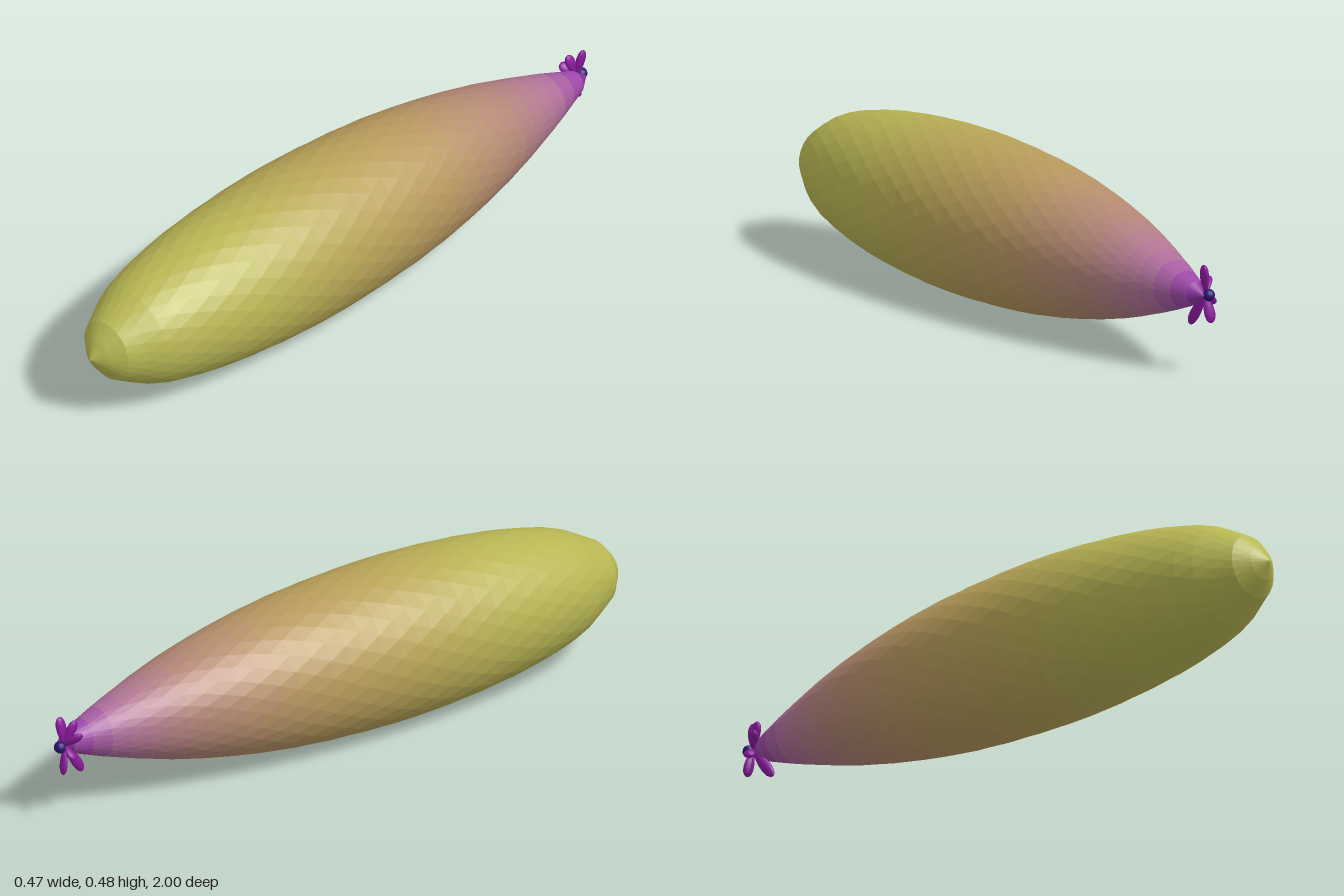
import * as THREE from 'three';

const CENTRE_Y = 0.243;

// Body outline from front tip to back tip: [z, radius]
const OUTLINE = [
  [1, 0], [0.975, 0.04], [0.945, 0.085], [0.87, 0.13], [0.785, 0.17], [0.6, 0.21],
  [0.4, 0.232], [0.2, 0.241], [0, 0.236], [-0.2, 0.221], [-0.4, 0.191],
  [-0.6, 0.147], [-0.8, 0.086], [-0.9, 0.05], [-0.97, 0.022], [-0.985, 0],
];

// Skin colour along the body: [z, colour]
const SKIN = [
  [1, 0xb9b954], [0.5, 0xb7b353], [0.1, 0xb7a256], [-0.25, 0xb7965f],
  [-0.6, 0xb28378], [-0.8, 0xb0709a], [-0.92, 0x9c46a8], [-1, 0x7a1496],
];

function skinColor(z) {
  const i = Math.max(1, SKIN.findIndex(([stop]) => stop <= z));
  const [z0, c0] = SKIN[i - 1];
  const [z1, c1] = SKIN[i];
  return new THREE.Color(c0).lerp(new THREE.Color(c1), (z0 - z) / (z0 - z1));
}

// Faceted spindle with staggered rings, one colour per band
function makeBody() {
  const sides = 26;
  const bands = 36;
  const curve = new THREE.SplineCurve(OUTLINE.map(([z, r]) => new THREE.Vector2(z, r)));
  const rings = curve.getSpacedPoints(bands);
  const positions = [];
  const indices = [];
  const materials = [];
  const geometry = new THREE.BufferGeometry();

  rings.forEach(({ x: z, y }, i) => {
    const r = i === 0 || i === bands ? 0 : Math.max(y, 0);
    for (let j = 0; j < sides; j++) {
      const a = ((j + (i % 2) / 2) / sides) * Math.PI * 2 + Math.PI / 2;
      positions.push(Math.cos(a) * r * 0.97 - 0.002, Math.sin(a) * r, z);
    }
  });

  for (let i = 0; i < bands; i++) {
    const start = indices.length;
    for (let j = 0; j < sides; j++) {
      const k = (j + 1) % sides;
      const a = i * sides + j, b = i * sides + k;
      const c = (i + 1) * sides + j, d = (i + 1) * sides + k;
      // Diagonal follows the stagger
      if (i % 2) indices.push(a, c, d, a, d, b);
      else indices.push(a, c, b, b, c, d);
    }
    geometry.addGroup(start, indices.length - start, i);
    materials.push(new THREE.MeshStandardMaterial({
      color: skinColor((rings[i].x + rings[i + 1].x) / 2), flatShading: true,
    }));
  }
  geometry.setAttribute('position', new THREE.Float32BufferAttribute(positions, 3));
  geometry.setIndex(indices);
  geometry.computeVertexNormals();
  const body = new THREE.Mesh(geometry, materials);
  body.name = 'body';
  return body;
}

// Small blossom at the back tip
function makeBlossom() {
  const blossom = new THREE.Group();
  blossom.name = 'blossom';
  blossom.position.set(-0.02, 0, -0.965);

  const petalMaterial = new THREE.MeshStandardMaterial({ color: 0x8a1a9c });
  const heartMaterial = new THREE.MeshStandardMaterial({ color: 0x2a1270 });

  // Petal tips relative to the blossom centre
  const tips = [
    [0.012, 0.09, -0.012], [-0.012, 0.078, 0.028], [-0.036, 0.04, 0.035],
    [0.03, 0.02, 0.04], [0.008, -0.102, 0.07], [-0.012, -0.085, -0.015],
    [-0.036, -0.035, 0.01],
  ];
  const up = new THREE.Vector3(0, 1, 0);
  for (const tip of tips) {
    const end = new THREE.Vector3(...tip);
    const length = end.length();
    const geometry = new THREE.SphereGeometry(1, 12, 8);
    // Wider towards the outer end, narrow at the root
    const p = geometry.attributes.position;
    for (let i = 0; i < p.count; i++) {
      const widen = 0.8 + 0.3 * p.getY(i);
      p.setXYZ(i, p.getX(i) * 0.012 * widen, (p.getY(i) + 1) * length / 2, p.getZ(i) * 0.02 * widen);
    }
    geometry.computeVertexNormals();
    const petal = new THREE.Mesh(geometry, petalMaterial);
    petal.name = 'petal';
    petal.quaternion.setFromUnitVectors(up, end.normalize());
    blossom.add(petal);
  }

  const heart = new THREE.Mesh(new THREE.SphereGeometry(0.018, 12, 8), heartMaterial);
  heart.name = 'blossomHeart';
  heart.position.z = -0.017;
  blossom.add(heart);
  return blossom;
}

export function createModel() {
  const model = new THREE.Group();
  model.name = 'fruit';
  const parts = new THREE.Group();
  parts.name = 'fruitParts';
  parts.position.y = CENTRE_Y;
  parts.add(makeBody(), makeBlossom());
  model.add(parts);
  return model;
}
